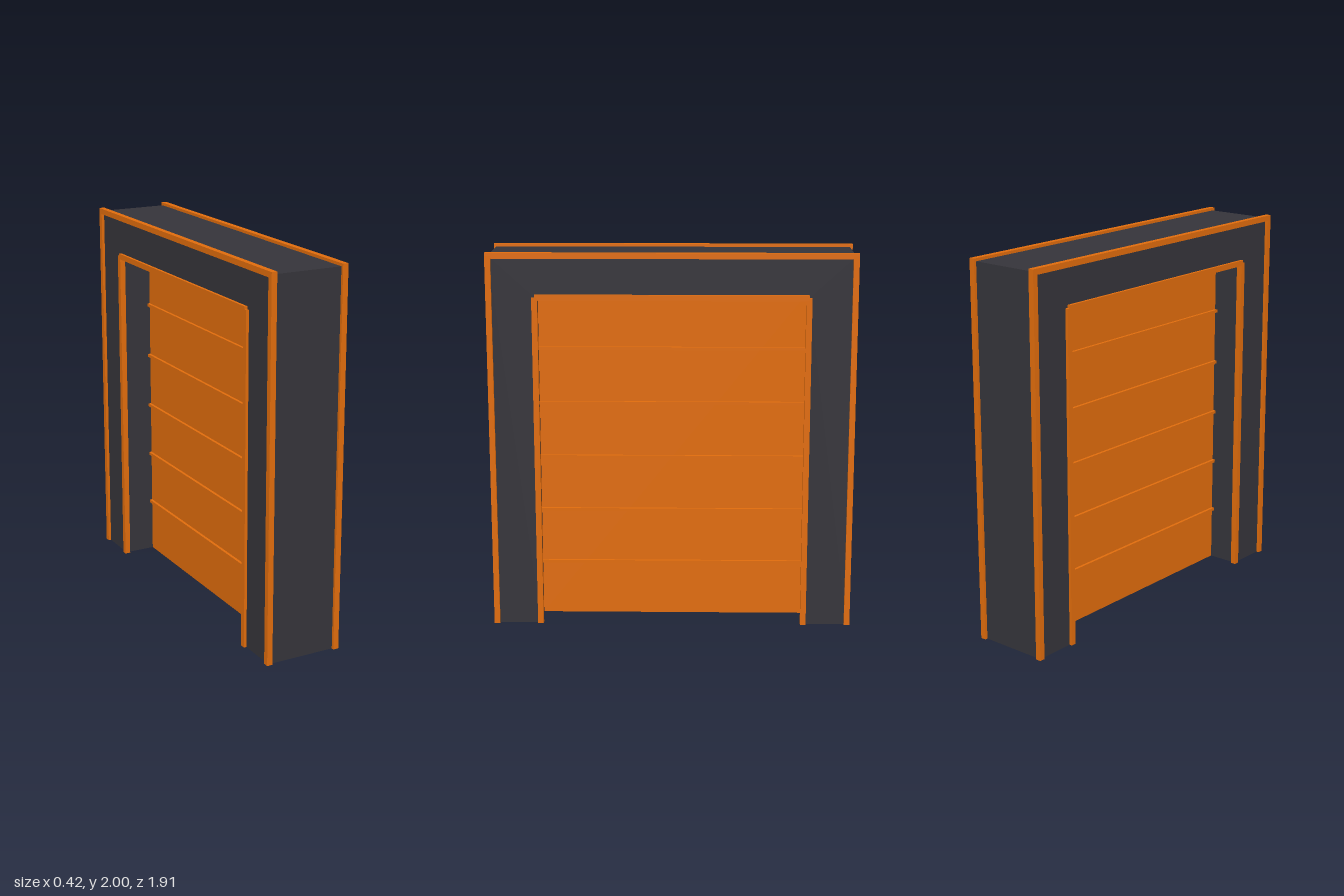
import * as THREE from 'three';

const ORANGE = new THREE.MeshStandardMaterial({ color: 0xe06c0c });
const DARK = new THREE.MeshStandardMaterial({ color: 0x35343a });

const OUTER_Z = 0.94, OUTER_Y = 1.985; // outer edge of the surround
const INNER_Z = 0.705, INNER_Y = 1.77; // door opening
const FACE_X = 0.195;                  // half depth of the surround
const BAR = 0.03;                      // trim thickness

function box(name, material, size, position) {
  const mesh = new THREE.Mesh(new THREE.BoxGeometry(...size), material);
  mesh.name = name;
  mesh.position.set(...position);
  return mesh;
}

// Trim: two posts and a top rail centred on an edge of the surround
function trim(name, x, z, y, postTop, railLength) {
  const group = new THREE.Group();
  group.name = name;
  for (const side of [-1, 1]) {
    group.add(box('trimPost', ORANGE, [BAR, postTop, BAR], [x, postTop / 2, side * z]));
  }
  group.add(box('trimRail', ORANGE, [BAR, BAR, railLength], [x, y, 0]));
  return group;
}

export function createModel() {
  const model = new THREE.Group();
  model.name = 'shutterDoorway';

  // Dark U-shaped surround, extruded along x
  const outline = new THREE.Shape([
    [-OUTER_Z, 0], [-INNER_Z, 0], [-INNER_Z, INNER_Y], [INNER_Z, INNER_Y],
    [INNER_Z, 0], [OUTER_Z, 0], [OUTER_Z, OUTER_Y], [-OUTER_Z, OUTER_Y],
  ].map(([z, y]) => new THREE.Vector2(z, y)));
  const geometry = new THREE.ExtrudeGeometry(outline, { depth: FACE_X * 2, bevelEnabled: false });
  geometry.translate(0, 0, -FACE_X).rotateY(Math.PI / 2);
  const surround = new THREE.Mesh(geometry, DARK);
  surround.name = 'surround';
  model.add(surround);

  // Trim around the outside and the opening, on both faces
  for (const x of [-FACE_X, FACE_X]) {
    model.add(trim('outerTrim', x, OUTER_Z, OUTER_Y, OUTER_Y, 2 * OUTER_Z + BAR));
    model.add(trim('innerTrim', x, INNER_Z, INNER_Y, INNER_Y, 2 * INNER_Z));
  }

  // Door panel with five horizontal ribs showing on both sides
  model.add(box('doorPanel', ORANGE, [0.05, INNER_Y, 2 * INNER_Z], [0, INNER_Y / 2, 0]));
  for (let i = 1; i < 6; i++) {
    model.add(box('doorRib', ORANGE, [0.08, 0.016, 2 * INNER_Z], [0, (i * INNER_Y) / 6, 0]));
  }
  return model;
}
